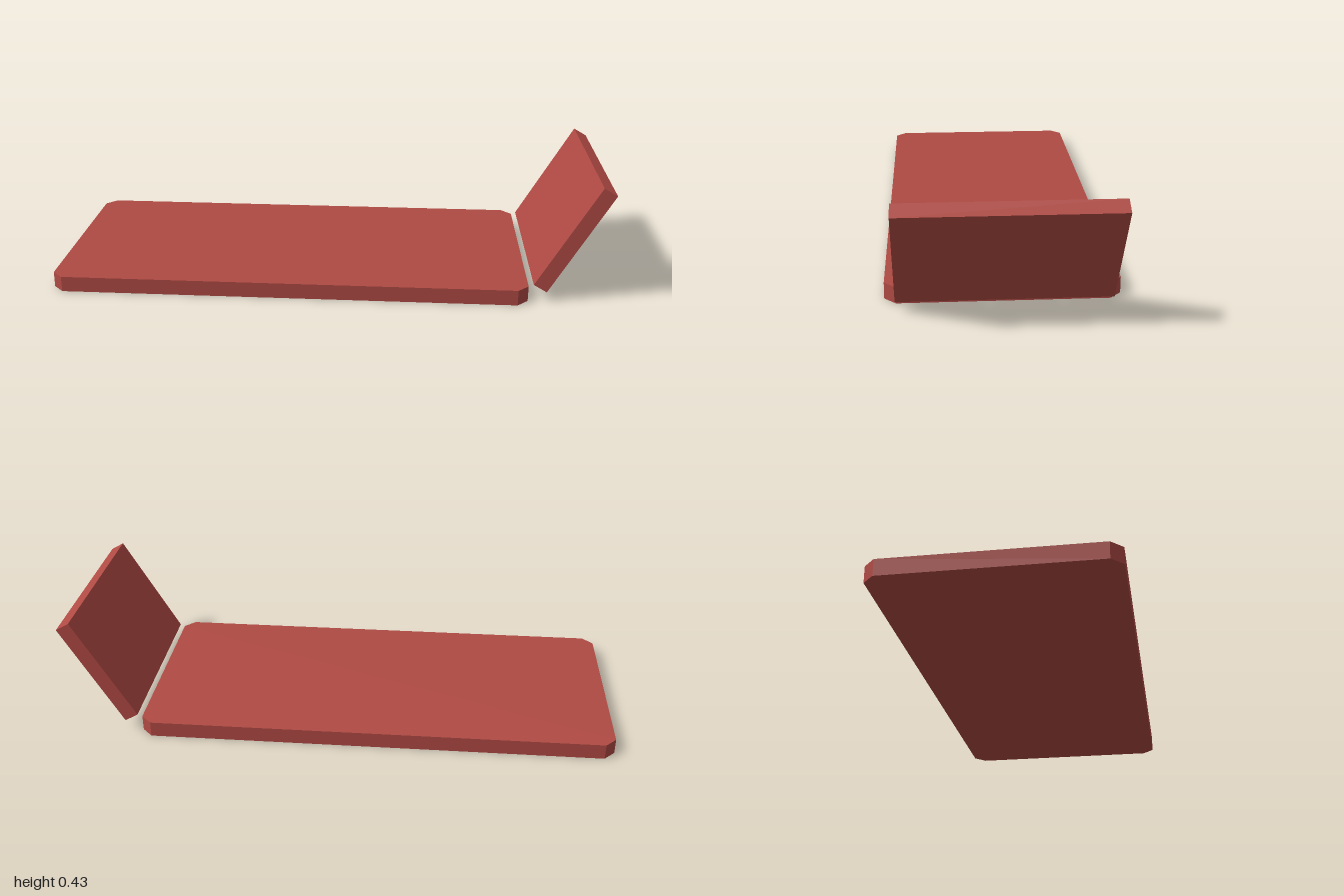
import * as THREE from 'three';

export function createModel() {
  const group = new THREE.Group();
  const cushionRed = new THREE.MeshStandardMaterial({ color: 0xb04a44 });
  cushionRed.name = 'cushionRed';

  // Flat pad with chamfered corners
  const x0 = -1, x1 = 0.722, z = 0.39, c = 0.039;
  const outline = new THREE.Shape([
    [x0 + c, -z], [x1 - c, -z], [x1, -z + c], [x1, z - c],
    [x1 - c, z], [x0 + c, z], [x0, z - c], [x0, -z + c],
  ].map(([x, y]) => new THREE.Vector2(x, y)));
  const padGeometry = new THREE.ExtrudeGeometry(outline, { depth: 0.057, bevelEnabled: false });
  padGeometry.rotateX(-Math.PI / 2);
  const seatPad = new THREE.Mesh(padGeometry, cushionRed);
  seatPad.name = 'seatPad';
  group.add(seatPad);

  // Raised headrest, tilted outwards at 60 degrees
  const headrest = new THREE.Mesh(new THREE.BoxGeometry(0.427, 0.055, 0.704), cushionRed);
  headrest.name = 'headrest';
  headrest.position.set(0.87, 0.235, 0);
  headrest.rotation.z = Math.PI / 3;
  group.add(headrest);

  return group;
}
